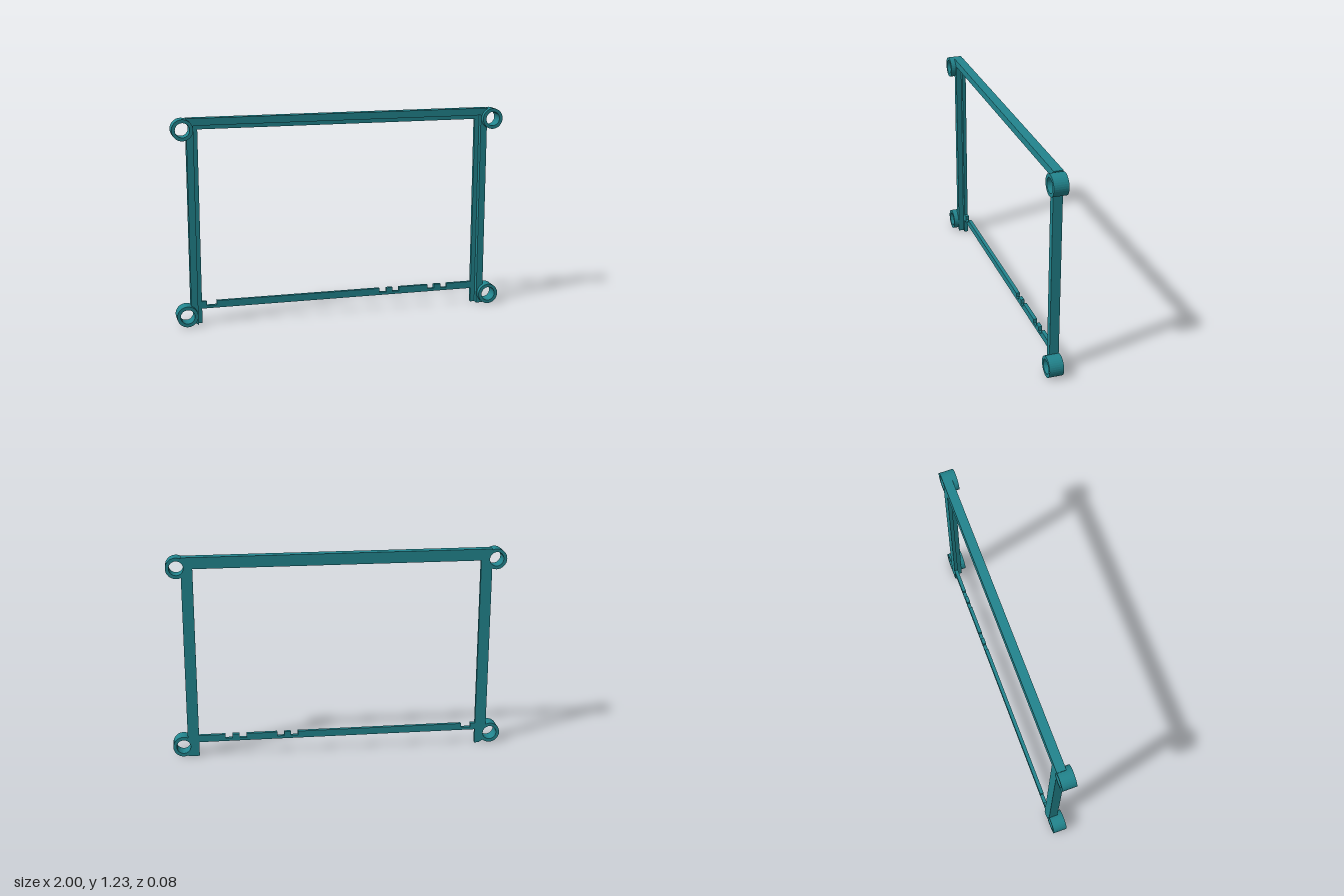
import * as THREE from 'three';

const BACK = -0.042, FRONT = 0.042, TOP = 1.225;
const RING_X = 0.938, RING_R = 0.062, HOLE_R = 0.042;
const RING_Y = [RING_R, TOP - RING_R];

export function createModel() {
  const group = new THREE.Group();
  const teal = new THREE.MeshStandardMaterial({ color: 0x22858e });
  teal.name = 'teal';

  // Extrudes a front-facing outline from the back plane forward
  const add = (name, shape, depth) => {
    const geo = new THREE.ExtrudeGeometry(shape, { depth, bevelEnabled: false, curveSegments: 16 });
    const mesh = new THREE.Mesh(geo, teal);
    mesh.name = name;
    mesh.position.z = BACK;
    group.add(mesh);
  };

  // Deep outer wall: an upside-down U, cut where the screw holes pass
  const wall = new THREE.Shape();
  const outer = 0.912, inner = 0.872;
  const a = Math.acos((RING_X - outer) / HOLE_R);
  wall.moveTo(-outer, 0);
  for (const y of RING_Y) wall.absarc(-RING_X, y, HOLE_R, -a, a, false);
  wall.lineTo(-outer, TOP);
  wall.lineTo(outer, TOP);
  for (const y of [...RING_Y].reverse()) wall.absarc(RING_X, y, HOLE_R, Math.PI - a, Math.PI + a, false);
  wall.lineTo(outer, 0);
  wall.lineTo(inner, 0);
  wall.lineTo(inner, 1.183);
  wall.lineTo(-inner, 1.183);
  wall.lineTo(-inner, 0);
  wall.closePath();
  add('outerWall', wall, 0.054);

  // Thin lip along the inside of the wall, at the back
  const lipX = 0.845, lipTop = 1.157;
  const lip = new THREE.Shape([
    [-inner, 0], [-inner, 1.183], [inner, 1.183], [inner, 0],
    [lipX, 0], [lipX, lipTop], [-lipX, lipTop], [-lipX, 0],
  ].map(([x, y]) => new THREE.Vector2(x, y)));
  add('innerLip', lip, 0.022);

  // Bottom bar with notches in its upper edge
  const bar = new THREE.Shape();
  bar.moveTo(-lipX, 0.088);
  bar.lineTo(-lipX, 0.13);
  for (const [x0, x1] of [[-0.815, -0.757], [0.25, 0.293], [0.333, 0.375], [0.56, 0.602], [0.645, 0.686]]) {
    bar.lineTo(x0, 0.13);
    bar.lineTo(x0, 0.105);
    bar.lineTo(x1, 0.105);
    bar.lineTo(x1, 0.13);
  }
  bar.lineTo(lipX, 0.13);
  bar.lineTo(lipX, 0.088);
  bar.closePath();
  add('bottomBar', bar, 0.022);

  // Screw bosses at the four corners
  for (const side of [-1, 1]) {
    for (const y of RING_Y) {
      const ring = new THREE.Shape().absarc(side * RING_X, y, RING_R, 0, Math.PI * 2, false);
      ring.holes.push(new THREE.Path().absarc(side * RING_X, y, HOLE_R, 0, Math.PI * 2, true));
      add((side > 0 ? 'left' : 'right') + (y > 0.5 ? 'Top' : 'Bottom') + 'Boss', ring, FRONT - BACK);
    }
  }
  return group;
}
